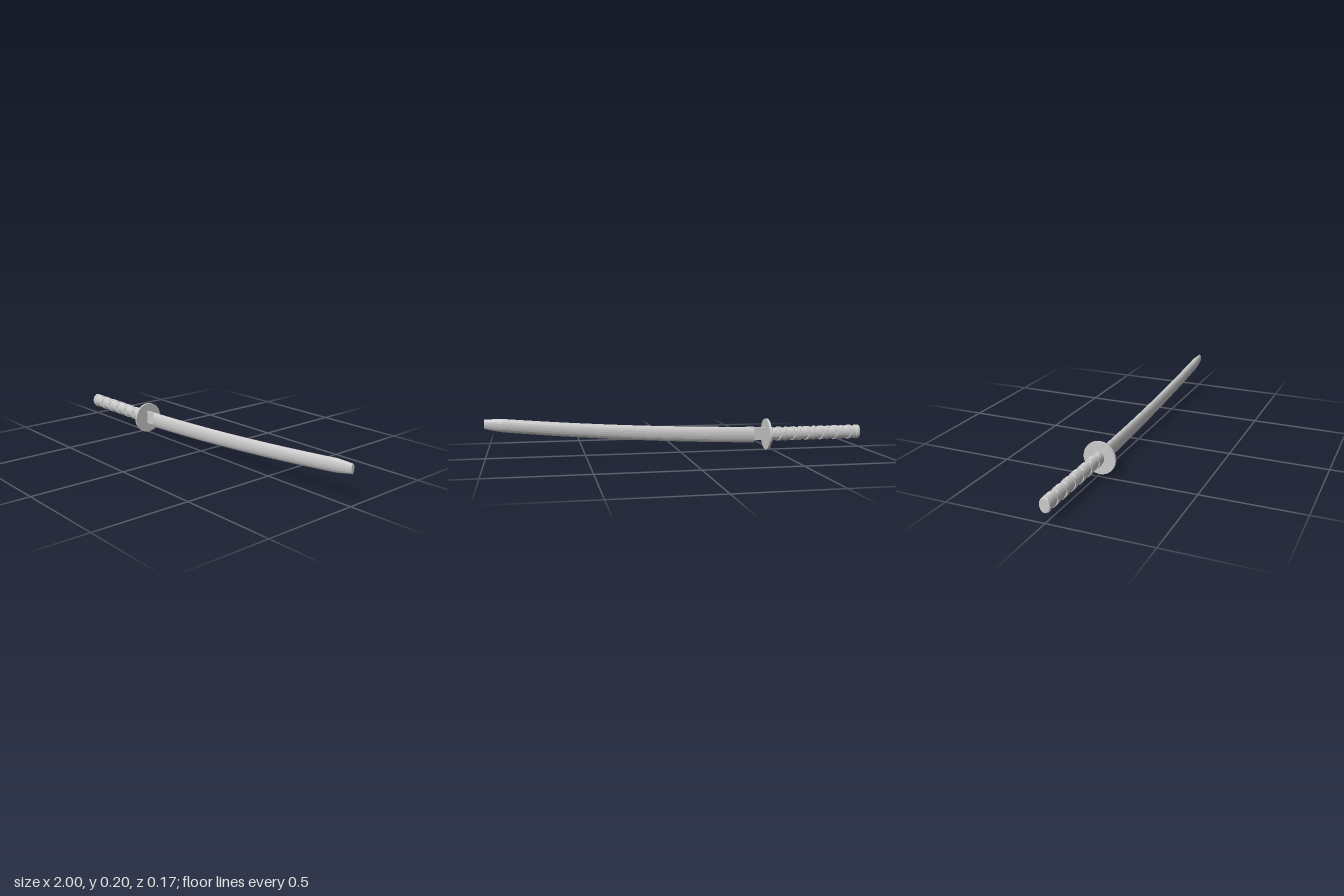
import * as THREE from 'three';

const AXIS_Y = 0.083;

function makeMaterial(flat, side = THREE.FrontSide) {
  return new THREE.MeshStandardMaterial({ color: 0xcccccc, flatShading: flat, side });
}

function makeMesh(name, geometry, material) {
  const mesh = new THREE.Mesh(geometry, material);
  mesh.name = name;
  return mesh;
}

// Closed body lofted along x through ellipses given as [x, centreY, halfHeight, halfWidth]
function ellipseLoft(sections, sides) {
  const pos = [], index = [];
  for (const [x, cy, ry, rz] of sections) {
    for (let j = 0; j < sides; j++) {
      const a = (j / sides) * Math.PI * 2;
      pos.push(x, cy + ry * Math.cos(a), rz * Math.sin(a));
    }
  }
  const last = sections.length - 1;
  for (let i = 0; i < last; i++) {
    for (let j = 0; j < sides; j++) {
      const k = (j + 1) % sides;
      const a = i * sides + j, b = i * sides + k;
      index.push(a, b, a + sides, b, b + sides, a + sides);
    }
  }
  // end caps
  const c = pos.length / 3;
  pos.push(sections[0][0], sections[0][1], 0, sections[last][0], sections[last][1], 0);
  for (let j = 0; j < sides; j++) {
    const k = (j + 1) % sides;
    index.push(c, k, j, c + 1, last * sides + j, last * sides + k);
  }
  const geo = new THREE.BufferGeometry();
  geo.setAttribute('position', new THREE.Float32BufferAttribute(pos, 3));
  geo.setIndex(index);
  geo.computeVertexNormals();
  return geo;
}

// Flat strip wound around the elliptical grip; dir = 1 or -1 sets the winding
function wrapStrip(x0, x1, ry, rz, pitch, dir) {
  const profile = [[-0.012, -0.002], [-0.009, 0.004], [0.009, 0.004], [0.012, -0.002]];
  const steps = Math.round(((x1 - x0) / pitch) * 32);
  const pos = [], index = [];
  for (let i = 0; i <= steps; i++) {
    const t = i / steps;
    const x = x0 + (x1 - x0) * t;
    const a = Math.PI / 2 + (dir * Math.PI * 2 * (x - x0)) / pitch;
    for (const [dx, dr] of profile) {
      pos.push(
        THREE.MathUtils.clamp(x + dx, x0, x1),
        AXIS_Y + (ry + dr) * Math.cos(a),
        (rz + dr) * Math.sin(a)
      );
    }
    if (i === steps) continue;
    for (let j = 0; j < 3; j++) {
      const p = i * 4 + j;
      if (dir > 0) index.push(p, p + 4, p + 1, p + 1, p + 4, p + 5);
      else index.push(p, p + 1, p + 4, p + 1, p + 5, p + 4);
    }
  }
  const geo = new THREE.BufferGeometry();
  geo.setAttribute('position', new THREE.Float32BufferAttribute(pos, 3));
  geo.setIndex(index);
  geo.computeVertexNormals();
  return geo;
}

export function createModel() {
  const model = new THREE.Group();
  model.name = 'sheathedSword';

  // Curved scabbard with a gentle taper
  const sections = [];
  for (let i = 0; i <= 16; i++) {
    const t = (i / 16) * 1.31;
    const cy = 0.082 + 0.027 * t + 0.028 * t * t;
    sections.push([-0.4 + t, cy, 0.0425 - 0.0065 * t, 0.019]);
  }
  // narrowing tip
  sections.push([0.96, 0.17, 0.029, 0.014], [1, 0.174, 0.0235, 0.009]);
  model.add(makeMesh('scabbard', ellipseLoft(sections, 20), makeMaterial(true)));

  // Short exposed length of blade between guard and scabbard
  const blade = makeMesh('bladeCollar', new THREE.BoxGeometry(0.1, 0.068, 0.016), makeMaterial(true));
  blade.position.set(-0.43, 0.087, 0);
  model.add(blade);

  // Round guard
  const guardGeo = new THREE.CylinderGeometry(0.083, 0.083, 0.012, 48);
  guardGeo.rotateZ(Math.PI / 2);
  const guard = makeMesh('guard', guardGeo, makeMaterial(false));
  guard.position.set(-0.47, AXIS_Y, 0);
  model.add(guard);

  // Grip core with two strips crossing on its front and back
  const handle = new THREE.Group();
  handle.name = 'handle';
  const core = [
    [-1, AXIS_Y, 0.034, 0.024],
    [-0.995, AXIS_Y, 0.037, 0.027],
    [-0.98, AXIS_Y, 0.037, 0.027],
    [-0.977, AXIS_Y, 0.034, 0.024],
    [-0.472, AXIS_Y, 0.034, 0.024],
  ];
  handle.add(makeMesh('gripCore', ellipseLoft(core, 28), makeMaterial(true)));
  for (const dir of [1, -1]) {
    const geo = wrapStrip(-0.998, -0.485, 0.034, 0.024, 0.08, dir);
    handle.add(makeMesh('gripWrap', geo, makeMaterial(true, THREE.DoubleSide)));
  }
  model.add(handle);

  return model;
}
